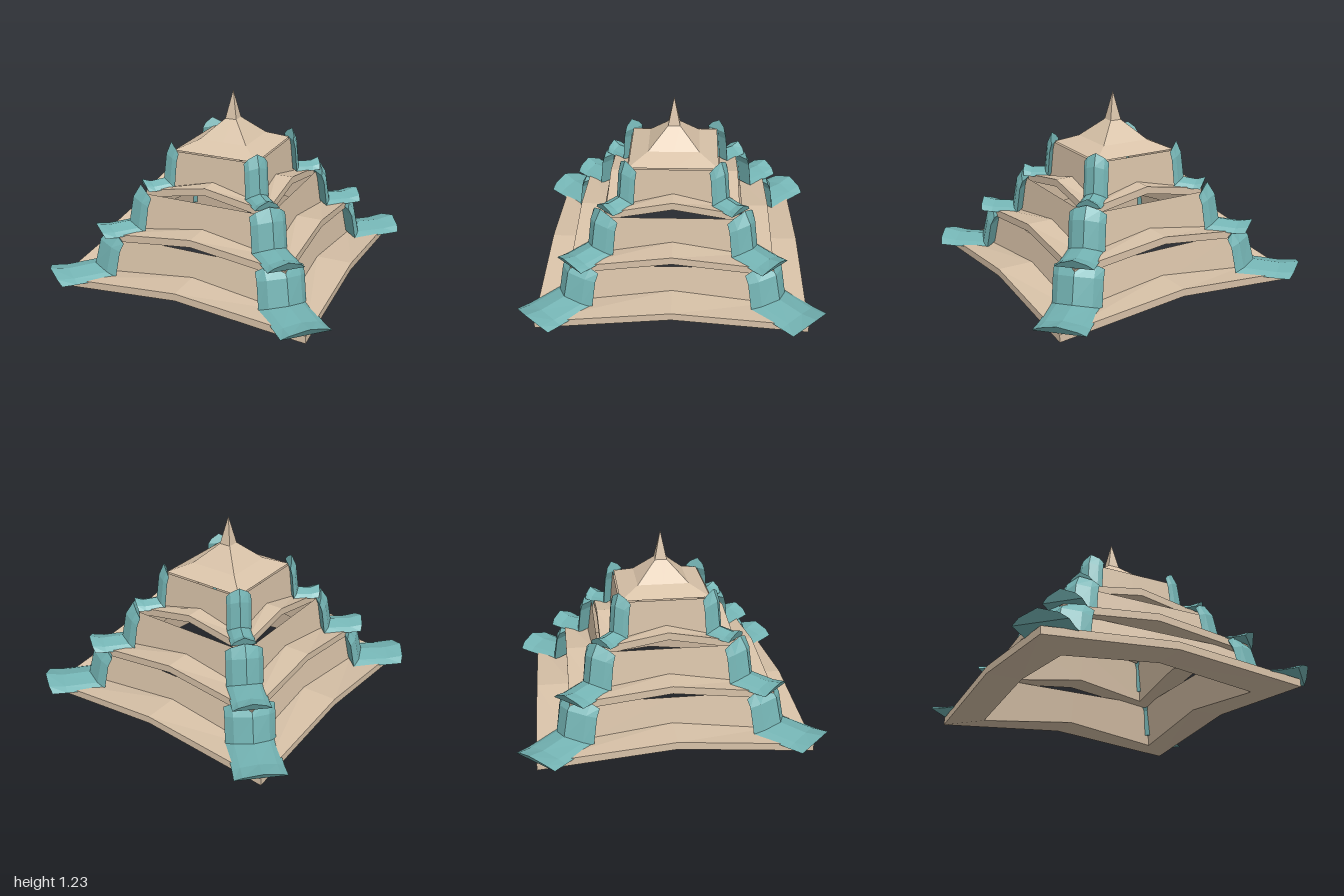
import * as THREE from 'three';

const stone = new THREE.MeshStandardMaterial({ color: 0xd8c2a8, flatShading: true, side: THREE.DoubleSide });
const tile = new THREE.MeshStandardMaterial({ color: 0x74b4b4, flatShading: true, side: THREE.DoubleSide });

// Skin neighbouring closed loops of [x, y, z] points; optionally cap both ends.
function loft(loops, caps = false) {
  const out = [];
  const tri = (...pts) => pts.forEach((p) => out.push(...p));
  for (let k = 0; k < loops.length - 1; k++) {
    const a = loops[k], b = loops[k + 1], n = a.length;
    for (let i = 0; i < n; i++) {
      const j = (i + 1) % n;
      tri(a[i], a[j], b[j]);
      tri(a[i], b[j], b[i]);
    }
  }
  if (caps) {
    const first = loops[0], last = loops[loops.length - 1];
    for (let i = 1; i < first.length - 1; i++) {
      tri(first[0], first[i + 1], first[i]);
      tri(last[0], last[i], last[i + 1]);
    }
  }
  const g = new THREE.BufferGeometry();
  g.setAttribute('position', new THREE.Float32BufferAttribute(out, 3));
  g.computeVertexNormals();
  return g;
}

function mesh(name, geometry, material) {
  const m = new THREE.Mesh(geometry, material);
  m.name = name;
  return m;
}

// Square loop of corners and side midpoints, which may sit higher and closer in.
const DIRS = [[0, 1], [1, 1], [1, 0], [1, -1], [0, -1], [-1, -1], [-1, 0], [-1, 1]];
function square(half, y, midHalf = half, midY = y) {
  return DIRS.map(([x, z]) => (x && z ? [x * half, y, z * half] : [x * midHalf, midY, z * midHalf]));
}

const RISE = 0.08;      // lift of the eaves at mid-side
const WALL_TOP = 0.302;
const wallHalf = (y) => 0.655 - 0.05 * (y / WALL_TOP);
const bowed = (half, y) => square(half, y, half, y + RISE);
const wallLoop = (y) => square(wallHalf(y), y, wallHalf(y + RISE), y + RISE);

// Ridge tile section: low sides, shoulders and a ridge, across the diagonal.
function ridgeSection({ side, sideY, ridge, ridgeY, w = 0.115 }) {
  const r = Math.SQRT2;
  return [[-1, 0], [-0.7, 0.5], [0, 1], [0.7, 0.5], [1, 0]].map(([s, t]) => [
    s * w * r,
    THREE.MathUtils.lerp(sideY, ridgeY, t),
    THREE.MathUtils.lerp(side, ridge, t) * r,
  ]);
}

function tier(scale, y) {
  const g = new THREE.Group();
  // Hollow eaves slab, then the open leaning wall above it
  g.add(mesh('eaves', loft([wallLoop(0), bowed(0.875, 0), bowed(0.875, 0.05), wallLoop(0.05)]), stone));
  g.add(mesh('wall', loft([wallLoop(0), square(wallHalf(WALL_TOP), WALL_TOP)]), stone));

  // Ridge tiles run in from the upturned tip and climb the wall corner
  const ridgeGeometry = loft([
    { side: 0.882, sideY: 0.065, ridge: 0.915, ridgeY: 0.13, w: 0.118 },
    { side: 0.81, sideY: 0.062, ridge: 0.83, ridgeY: 0.11 },
    { side: 0.63, sideY: 0.07, ridge: 0.7, ridgeY: 0.12 },
    { side: 0.605, sideY: 0.25, ridge: 0.67, ridgeY: 0.29 },
    { side: 0.585, sideY: 0.305, ridge: 0.62, ridgeY: 0.37 },
  ].map(ridgeSection), true);
  for (let i = 0; i < 4; i++) {
    const ridge = mesh('cornerRidge', ridgeGeometry, tile);
    ridge.rotation.y = Math.PI / 4 + (i * Math.PI) / 2;
    g.add(ridge);
  }
  g.scale.set(scale, 1, scale);
  g.position.y = y;
  return g;
}

export function createModel() {
  const model = new THREE.Group();
  model.name = 'tieredRoof';
  ['lowerTier', 'middleTier', 'upperTier'].forEach((name, i) => {
    const t = tier(1 - i * 0.25, i * 0.275);
    t.name = name;
    model.add(t);
  });

  // Pyramid cap sweeping up into a spire
  const cap = [[0.295, 0.857], [0.17, 0.913], [0.04, 1.04], [0.001, 1.23]];
  model.add(mesh('capAndSpire', loft(cap.map(([h, y]) => square(h, y)), true), stone));
  return model;
}
